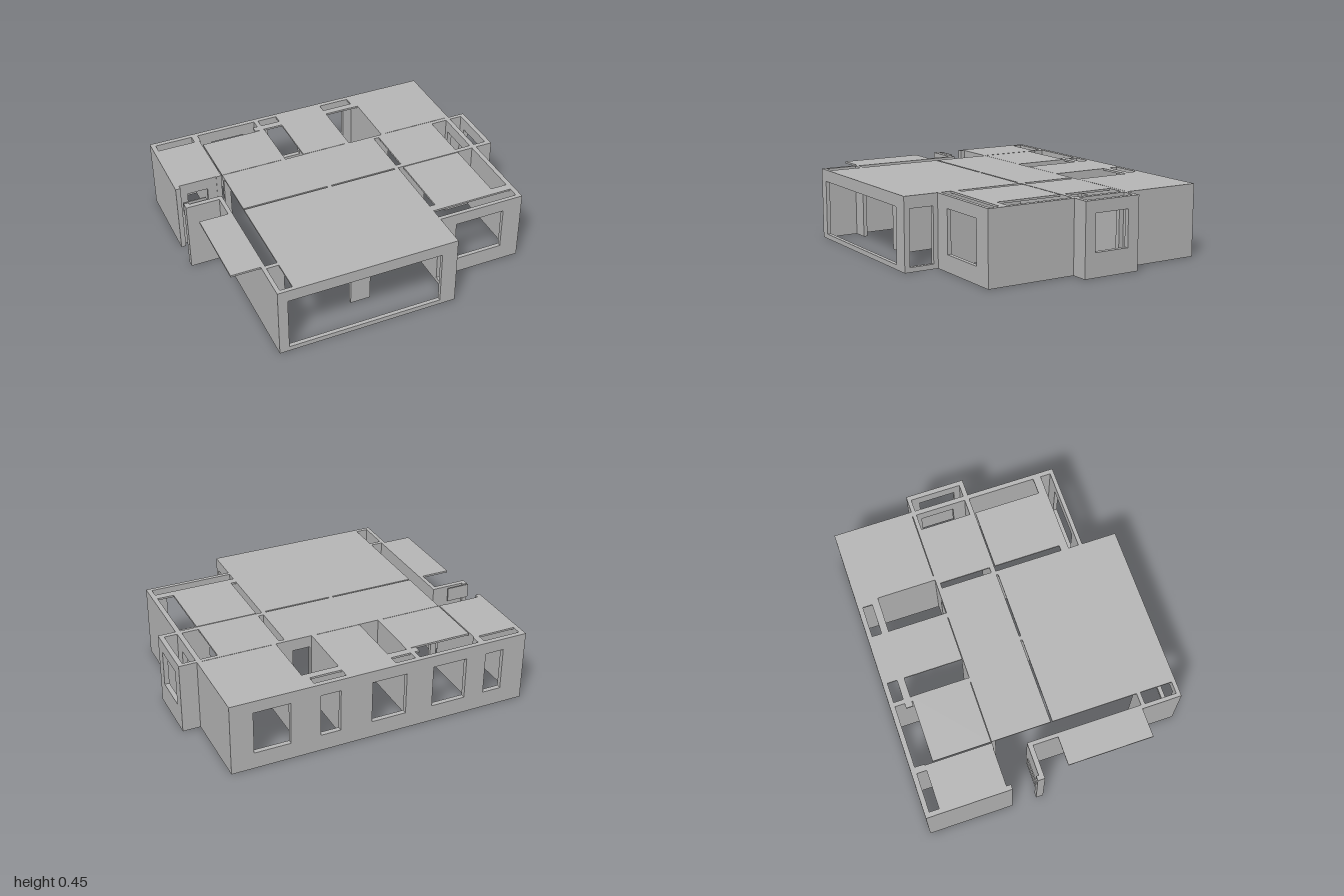
import * as THREE from 'three';

const H = 0.45;      // wall height
const HEAD = 0.375;  // head of doors and windows
const SLAB = 0.012;  // ceiling thickness

export function createModel() {
  const group = new THREE.Group();
  const plaster = new THREE.MeshStandardMaterial({ color: 0xb8b8b8 });
  plaster.name = 'plaster grey';

  function add(geometry, name) {
    const mesh = new THREE.Mesh(geometry, plaster);
    mesh.name = name;
    group.add(mesh);
  }

  // Elevation of a wall from a to b; an opening is [start, end, sill], sill 0 is a doorway
  function elevation(a, b, openings) {
    const s = new THREE.Shape();
    s.moveTo(a, 0);
    for (const [p, q, sill] of openings) {
      if (sill > 0) {
        const h = new THREE.Path();
        h.moveTo(p, sill);
        h.lineTo(p, HEAD);
        h.lineTo(q, HEAD);
        h.lineTo(q, sill);
        h.closePath();
        s.holes.push(h);
      } else {
        s.lineTo(p, 0);
        s.lineTo(p, HEAD);
        s.lineTo(q, HEAD);
        s.lineTo(q, 0);
      }
    }
    s.lineTo(b, 0);
    s.lineTo(b, H);
    s.lineTo(a, H);
    s.closePath();
    return s;
  }

  // Wall running along x, between z0 and z1
  function wallX(name, x0, x1, z0, z1, openings = []) {
    const g = new THREE.ExtrudeGeometry(elevation(x0, x1, openings), { depth: z1 - z0, bevelEnabled: false });
    g.translate(0, 0, z0);
    add(g, name);
  }

  // Wall running along z, between x0 and x1
  function wallZ(name, x0, x1, z0, z1, openings = []) {
    const g = new THREE.ExtrudeGeometry(elevation(z0, z1, openings), { depth: x1 - x0, bevelEnabled: false });
    g.rotateY(-Math.PI / 2);
    g.translate(x1, 0, 0);
    add(g, name);
  }

  function block(name, x0, x1, y0, y1, z0, z1) {
    const g = new THREE.BoxGeometry(x1 - x0, y1 - y0, z1 - z0);
    g.translate((x0 + x1) / 2, (y0 + y1) / 2, (z0 + z1) / 2);
    add(g, name);
  }

  // Outer walls
  wallX('backWall', -1, 0.89, -0.84, -0.81, [
    [-0.85, -0.73, 0.105], [-0.6, -0.38, 0.105], [-0.205, 0.015, 0.105],
    [0.215, 0.34, 0.105], [0.525, 0.75, 0.105],
  ]);
  wallZ('entryBackWall', -1, -0.97, -0.81, -0.31);
  wallZ('entryJamb', -1, -0.97, -0.155, -0.14);
  wallX('entryFrontWall', -1, -0.765, -0.14, -0.11);
  wallZ('outerRightHandWall', -0.79, -0.765, -0.11, 0.805);
  wallX('frontWall', -0.79, 0.335, 0.805, 0.83, [[-0.73, 0.235, 0.03]]);
  wallZ('frontBaySideWall', 0.31, 0.335, 0.605, 0.805, [[0.64, 0.795, 0.03]]);
  wallX('frontRoomWall', 0.31, 0.89, 0.585, 0.61, [[0.445, 0.765, 0.105]]);
  wallZ('frontRoomSideWall', 0.86, 0.89, 0.04, 0.585);
  wallZ('backRoomSideWall', 0.86, 0.89, -0.81, -0.335);

  // Side bay
  wallZ('bayWindowWall', 0.97, 1, -0.31, 0.01, [[-0.26, -0.03, 0.148]]);
  wallZ('bayInnerWall', 0.86, 0.89, -0.31, 0.01, [[-0.28, -0.07, 0]]);
  wallX('bayBackWall', 0.31, 1, -0.335, -0.31, [[0.44, 0.585, 0]]);
  wallX('bayFrontWall', 0.31, 1, 0.01, 0.04, [[0.53, 0.69, 0]]);

  // Inner walls
  wallZ('entryRoomDivider', -0.73, -0.697, -0.81, -0.335);
  wallX('entryRoomFrontWall', -0.97, -0.73, -0.36, -0.338, [[-0.92, -0.79, 0]]);
  block('entryDividerCap', -0.73, -0.69, 0, H, -0.81, -0.75);
  wallZ('backRoomDivider', -0.3, -0.272, -0.81, -0.335);
  wallZ('backRoomDivider', 0.14, 0.17, -0.81, -0.335);
  wallZ('backRoomDivider', 0.4, 0.43, -0.81, -0.335);
  wallX('hallWall', -0.69, 0.31, -0.335, -0.31, [
    [-0.65, -0.335, 0], [-0.12, 0.1, 0], [0.18, 0.29, 0],
  ]);
  wallZ('hallSideWall', 0.31, 0.335, -0.31, 0.585, [[-0.3, -0.13, 0]]);
  wallZ('livingDivider', -0.145, -0.118, -0.13, 0.58);
  wallX('livingDividerEnd', -0.245, -0.118, 0.58, 0.605);
  wallX('livingCornerWall', -0.765, -0.66, 0.58, 0.605);
  block('frontHeader', -0.118, 0.31, HEAD, H, 0.58, 0.605);
  block('entryHeader', -1, -0.855, 0.36, H, -0.17, -0.163);

  // Ceiling panels: x0, x1, z0, z1
  const panels = [
    [-0.99, -0.73, -0.75, -0.338],
    [-0.69, -0.27, -0.70, -0.338],
    [-0.33, -0.145, -0.75, -0.705],
    [-0.145, 0.17, -0.83, -0.338],
    [0.17, 0.40, -0.75, -0.705],
    [0.37, 0.40, -0.83, -0.75],
    [0.40, 0.88, -0.83, -0.338],
    [-0.69, 0.335, -0.332, 0.036],
    [-0.69, 0.335, 0.046, 0.825],
    [-0.97, -0.79, 0.046, 0.58],
    [0.37, 0.755, -0.32, 0.03],
    [0.37, 0.755, 0.046, 0.48],
    [0.33, 0.87, 0.47, 0.52],
  ];
  for (const [x0, x1, z0, z1] of panels) block('ceilingPanel', x0, x1, H - SLAB, H, z0, z1);

  return group;
}
